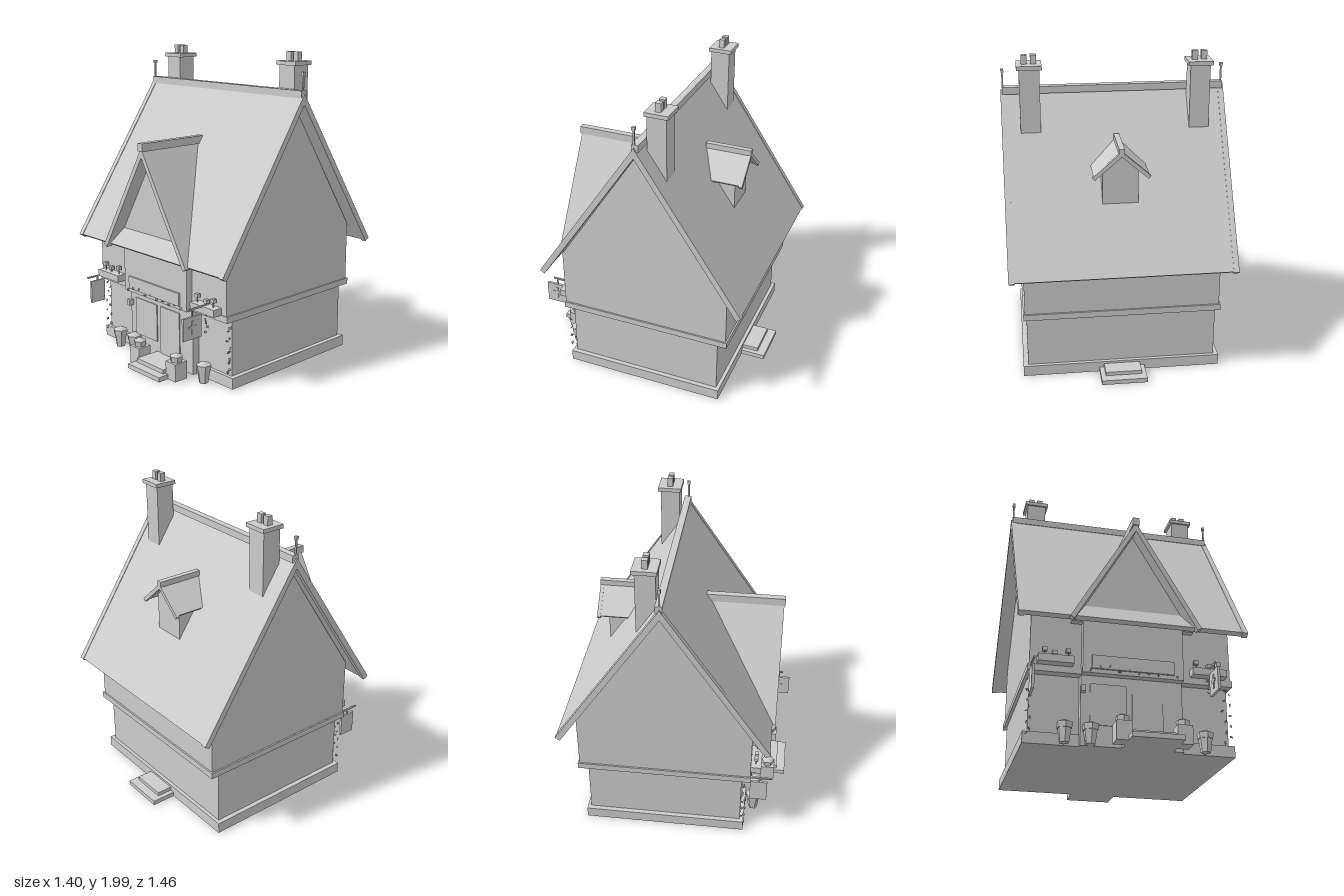
import * as THREE from 'three';

const stone = new THREE.MeshStandardMaterial({ color: 0xcccccc, flatShading: true });
stone.name = 'plain grey';

export function createModel() {
  const house = new THREE.Group();
  house.name = 'cottage';

  const add = (name, geo, x = 0, y = 0, z = 0) => {
    const m = new THREE.Mesh(geo, stone);
    m.name = name;
    m.position.set(x, y, z);
    house.add(m);
    return m;
  };
  // box given by its extents
  const box = (name, x0, x1, y0, y1, z0, z1) =>
    add(name, new THREE.BoxGeometry(x1 - x0, y1 - y0, z1 - z0), (x0 + x1) / 2, (y0 + y1) / 2, (z0 + z1) / 2);
  const prism = (pts, depth) =>
    new THREE.ExtrudeGeometry(new THREE.Shape(pts.map(p => new THREE.Vector2(...p))), { depth, bevelEnabled: false });
  // pitched roof section: two slabs meeting at the apex
  const chevron = (half, eave, apex, t) => {
    const m = (apex - eave) / half, k = Math.hypot(m, 1);
    const ix = half - t * m / k, iy = eave - t / k;
    return [[-half, eave], [-ix, iy], [0, apex - t * k], [ix, iy], [half, eave], [0, apex]];
  };
  // prism running along x, centred on x0
  const alongX = (name, pts, length, x0 = 0) => {
    const g = prism(pts, length);
    g.translate(0, 0, -length / 2);
    g.rotateY(-Math.PI / 2);
    return add(name, g, x0, 0, -0.05);
  };

  // walls
  box('plinth', -0.63, 0.63, 0.015, 0.085, -0.573, 0.473);
  box('lowerWalls', -0.6, 0.6, 0.085, 0.44, -0.55, 0.45);
  box('floorBand', -0.62, 0.62, 0.44, 0.48, -0.615, 0.51);
  alongX('upperWalls', [[-0.555, 0.48], [0.555, 0.48], [0.555, 0.858], [0, 1.7], [-0.555, 0.858]], 1.22);
  box('lowerBay', -0.305, 0.305, 0.015, 0.44, 0.4, 0.5);
  const bay = [[-0.305, 0.44], [0.305, 0.44], [0.305, 0.76], [0.375, 0.76], [0, 1.375], [-0.375, 0.76], [-0.305, 0.76]];
  add('upperBay', prism(bay, 0.3), 0, 0, 0.25);

  // main roof
  alongX('mainRoof', chevron(0.67, 0.76, 1.755, 0.03), 1.34);
  for (const s of [-1, 1]) {
    alongX('bargeBoard', chevron(0.675, 0.757, 1.762, 0.037), 0.035, s * 0.6825);
    box('finialRod', s * 0.685 - 0.005, s * 0.685 + 0.005, 1.75, 1.875, -0.055, -0.045);
    box('finialTip', s * 0.685 - 0.009, s * 0.685 + 0.009, 1.87, 1.892, -0.06, -0.04);
  }
  box('ridgeCap', -0.69, 0.69, 1.735, 1.78, -0.077, -0.033);

  // cross roofs, with their back edge cut along the main roof slope; dir is the way they face
  const crossRoof = (name, half, eave, apex, t, front, dir) => {
    const g = prism(chevron(half, eave, apex, t), 1), p = g.attributes.position;
    for (let i = 0; i < p.count; i++) {
      const back = (1.755 - p.getY(i)) / 1.52 - 0.02;
      const isFront = p.getZ(i) > 0.5;
      p.setZ(i, isFront ? front + dir * 0.05 : back);
    }
    g.computeVertexNormals();
    if (dir < 0) g.rotateY(Math.PI);
    return add(name, g, 0, 0, -0.05);
  };
  crossRoof('frontGableRoof', 0.4, 0.75, 1.43, 0.03, 0.64, 1);
  box('frontGableRidge', -0.021, 0.021, 1.41, 1.46, 0.15, 0.647);
  crossRoof('dormerRoof', 0.17, 1.34, 1.487, 0.017, 0.525, -1);
  add('dormerBargeBoard', prism(chevron(0.178, 1.335, 1.492, 0.024), 0.022), 0, 0, -0.53);
  box('dormerRidge', -0.017, 0.017, 1.475, 1.51, -0.53, -0.235);
  add('dormerWalls', prism([[-0.11, 1.05], [0.11, 1.05], [0.11, 1.375], [0, 1.47], [-0.11, 1.375]], 0.285), 0, 0, -0.465);

  // chimneys
  for (const s of [-1, 1]) {
    const x = s * 0.523;
    box('chimneyStack', x - 0.062, x + 0.062, 1.45, 1.925, -0.206, -0.084);
    box('chimneyCap', x - 0.077, x + 0.077, 1.92, 1.945, -0.222, -0.073);
    for (const d of [-0.028, 0.028])
      box('chimneyPot', x + d - 0.018, x + d + 0.018, 1.94, 2, -0.165, -0.13);
  }

  // steps, door, window and front boards
  box('frontStepLow', -0.06, 0.245, 0.015, 0.045, 0.45, 0.728);
  box('frontStepHigh', -0.04, 0.22, 0.045, 0.072, 0.45, 0.672);
  box('backStepLow', -0.145, 0.145, 0.015, 0.045, -0.73, -0.55);
  box('backStepHigh', -0.115, 0.115, 0.045, 0.07, -0.675, -0.55);
  box('door', 0, 0.185, 0.05, 0.39, 0.498, 0.507);
  box('shopWindow', -0.25, -0.035, 0.14, 0.39, 0.498, 0.507);
  box('frontBoard', -0.25, 0.245, 0.465, 0.548, 0.55, 0.562);
  box('lantern', -0.31, -0.28, 0.33, 0.37, 0.5, 0.535);

  // hanging boards on wall brackets
  box('rightBracket', 0.457, 0.467, 0.52, 0.53, 0.5, 0.67);
  box('rightHanger', 0.459, 0.465, 0.48, 0.52, 0.64, 0.65);
  box('rightHangingBoard', 0.454, 0.47, 0.34, 0.48, 0.577, 0.72);
  box('crossUpright', 0.45, 0.474, 0.37, 0.455, 0.641, 0.657);
  box('crossArm', 0.45, 0.474, 0.408, 0.424, 0.62, 0.678);
  box('leftBracket', -0.605, -0.595, 0.465, 0.475, 0.5, 0.64);
  box('leftHangingBoard', -0.608, -0.592, 0.29, 0.44, 0.505, 0.615);
  box('leftHanger', -0.603, -0.597, 0.43, 0.47, 0.555, 0.565);

  // window boxes with blossoms
  for (const s of [-1, 1]) {
    const x = s * 0.463;
    box('windowBox', x - 0.106, x + 0.106, 0.48, 0.525, 0.5, 0.57);
    [-0.065, -0.005, 0.075].forEach((d, i) => {
      const h = 0.555 + (i % 2 ? -0.005 : 0.012), fx = x - s * d;
      box('flowerStem', fx - 0.003, fx + 0.003, 0.52, h, 0.532, 0.538);
      box('blossom', fx - 0.014, fx + 0.014, h - 0.012, h + 0.012, 0.523, 0.547);
    });
  }

  // six-sided pots with domed shrubs
  for (const x of [-0.4, -0.25, 0.43]) {
    add('pot', new THREE.CylinderGeometry(0.042, 0.03, 0.085, 6), x, 0.0575, 0.525);
    add('potRim', new THREE.CylinderGeometry(0.05, 0.046, 0.035, 6), x, 0.115, 0.525);
    add('potShrub', new THREE.CylinderGeometry(0.012, 0.045, 0.018, 6), x, 0.141, 0.525);
  }
  for (const x of [-0.085, 0.27]) {
    box('planterBox', x - 0.045, x + 0.045, 0.015, 0.13, 0.56, 0.655);
    add('planterShrub', new THREE.CylinderGeometry(0.042, 0.038, 0.035, 6), x, 0.147, 0.608);
    add('planterShrubTop', new THREE.CylinderGeometry(0.01, 0.042, 0.016, 6), x, 0.172, 0.608);
  }

  // climbing leaves
  let seed = 7;
  const rnd = () => (seed = (seed * 16807) % 2147483647) / 2147483647;
  const leafGeo = new THREE.OctahedronGeometry(0.011).scale(1, 1.2, 0.4);
  const leaf = (x, y, z) => add('leaf', leafGeo, x, y, z).rotation.set(rnd() * 3, rnd() * 3, rnd() * 3);
  for (const s of [-1, 1])
    for (let i = 0; i < 13; i++) {
      const y = 0.04 + i * 0.033;
      if (i % 2) leaf(s * 0.61, y, 0.45 + rnd() * 0.03);
      else leaf(s * (0.565 + rnd() * 0.035), y, 0.46);
    }
  for (let i = 0; i < 10; i++) leaf(-0.26 + i * 0.058, 0.45 + rnd() * 0.035, 0.56);
  for (let i = 0; i < 6; i++) leaf(0.455 + rnd() * 0.02, 0.36 + i * 0.025, 0.515 + rnd() * 0.04);
  return house;
}
